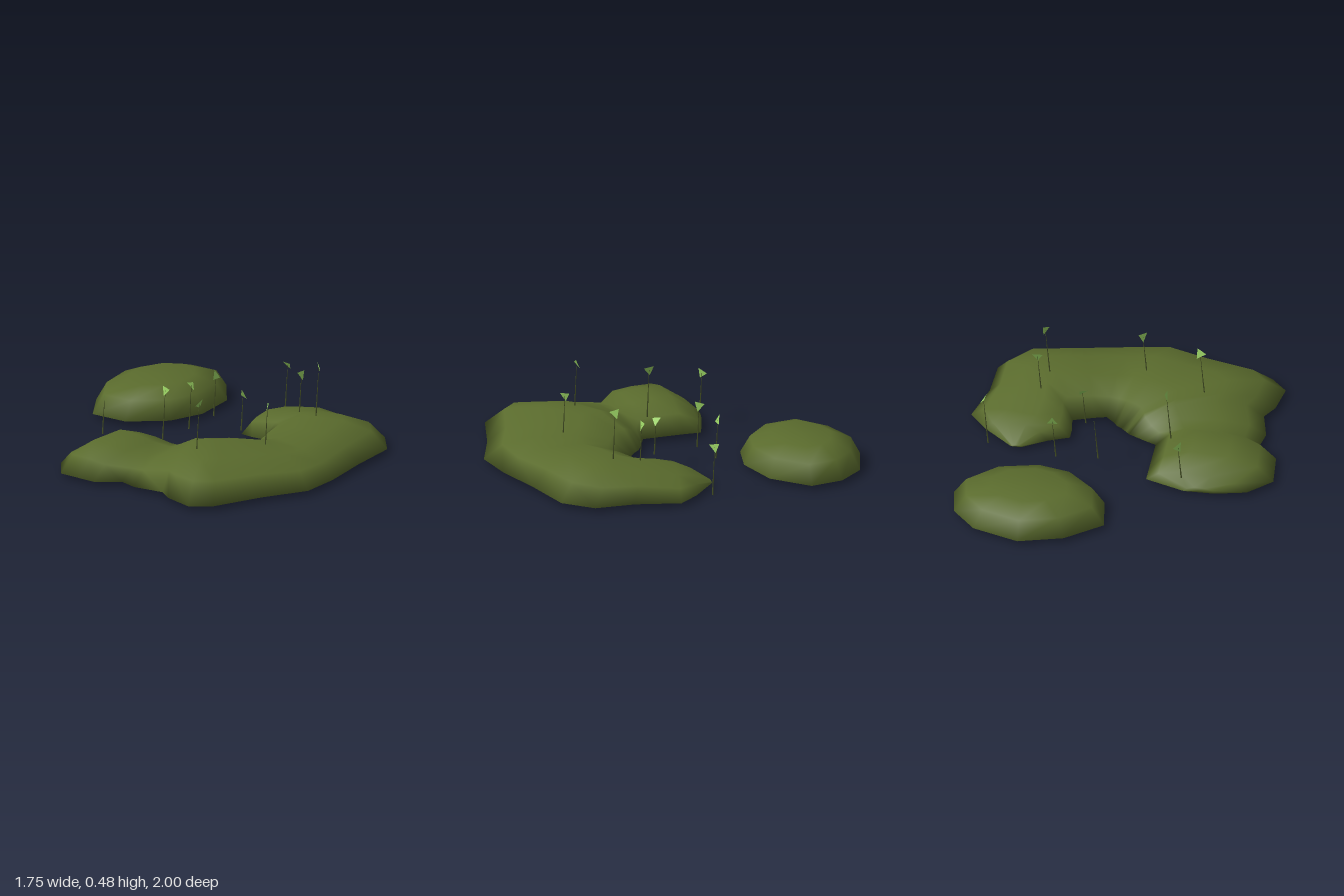
import * as THREE from 'three';

const moss = new THREE.MeshStandardMaterial({ name: 'moss green', color: 0x5a6b2d });
const stemMat = new THREE.MeshStandardMaterial({ name: 'dark stem green', color: 0x4a5628 });
const leafMat = new THREE.MeshStandardMaterial({ name: 'leaf green', color: 0x98d062, side: THREE.DoubleSide });

// Closed smooth skin over rows of points; every row is a loop, both ends are fanned shut
function loft(rows) {
  const n = rows[0].length, last = rows.length - 1;
  const pos = rows.flat(2), index = [];
  const mean = (row) => [0, 1, 2].map((k) => row.reduce((s, p) => s + p[k], 0) / n);
  pos.push(...mean(rows[0]), ...mean(rows[last]));
  const c0 = (last + 1) * n, c1 = c0 + 1;
  for (let j = 0; j < n; j++) {
    const k = (j + 1) % n;
    for (let i = 0; i < last; i++) {
      const a = i * n + j, b = a + n, c = i * n + k, d = c + n;
      index.push(a, b, c, b, d, c);
    }
    index.push(j, k, c0, last * n + k, last * n + j, c1);
  }
  const geo = new THREE.BufferGeometry();
  geo.setAttribute('position', new THREE.Float32BufferAttribute(pos, 3));
  geo.setIndex(index);
  geo.computeVertexNormals();
  return geo;
}

// Round cushion: the outline shrinks towards its centre below the rim and above it
function cushion(outline, height) {
  const cx = outline.reduce((s, p) => s + p[0], 0) / outline.length;
  const cz = outline.reduce((s, p) => s + p[1], 0) / outline.length;
  const profile = [[0.8, 0.02], [1, 0.025], [0.84, height * 0.7], [0.5, height * 0.98]];
  return loft(profile.map(([s, y]) =>
    outline.map(([x, z]) => [cx + (x - cx) * s, y, cz + (z - cz) * s])));
}

// Curved bank: each section runs from the outer rim over the crest to the inner rim and back below
function bank(sections) {
  const profile = [[0, 0.03], [0.13, 0.62], [0.36, 0.93], [0.66, 1], [0.88, 0.65], [1, 0.03], [0.8, 0], [0.2, 0]];
  return loft(sections.map(([ox, oz, ix, iz, h]) =>
    profile.map(([t, v]) => [ox + (ix - ox) * t, 0.02 + (h - 0.02) * v, oz + (iz - oz) * t])));
}

export function createModel() {
  const group = new THREE.Group();
  const add = (geo, mat, name, parent = group) => {
    const mesh = new THREE.Mesh(geo, mat);
    mesh.name = name;
    parent.add(mesh);
    return mesh;
  };

  // Separate moss cushion
  add(cushion([
    [-0.02, -0.77], [0.18, -0.93], [0.43, -1], [0.69, -0.91], [0.82, -0.76],
    [0.85, -0.57], [0.66, -0.39], [0.4, -0.33], [0.19, -0.38], [0.01, -0.55],
  ], 0.18), moss, 'backMossCushion');

  // Large curved moss bank: outer x, z, inner x, z, crest height
  add(bank([
    [-0.58, -0.36, -0.4, -0.36, 0.05],
    [-0.75, -0.325, -0.18, -0.28, 0.1],
    [-0.88, -0.2, -0.18, -0.18, 0.17],
    [-0.87, -0.08, -0.18, -0.06, 0.172],
    [-0.86, 0.03, -0.18, 0.06, 0.155],
    [-0.75, 0.14, -0.12, 0.09, 0.118],
    [-0.77, 0.25, -0.06, 0.12, 0.14],
    [-0.73, 0.43, -0.02, 0.14, 0.18],
    [-0.78, 0.52, 0, 0.16, 0.19],
    [-0.81, 0.7, 0.03, 0.19, 0.198],
    [-0.72, 0.8, 0.06, 0.21, 0.198],
    [-0.42, 0.89, 0.08, 0.24, 0.185],
    [-0.16, 1, 0.1, 0.26, 0.165],
    [0.07, 0.97, 0.13, 0.29, 0.152],
    [0.37, 0.89, 0.2, 0.27, 0.175],
    [0.66, 0.83, 0.31, 0.23, 0.185],
    [0.8, 0.68, 0.31, 0.2, 0.175],
    [0.81, 0.45, 0.3, 0.14, 0.155],
    [0.875, 0.2, 0.3, 0.06, 0.12],
    [0.78, 0.08, 0.42, 0.01, 0.1],
    [0.61, -0.07, 0.55, -0.07, 0.03],
  ]), moss, 'curvedMossBank');

  // Sprouts: leaf x, y, z, stem foot height, leaf tilt, yaw, roll
  const sprouts = [
    [-0.38, 0.44, 0.38, 0.12, 0.4, 0.1, 3.2], [-0.37, 0.3, -0.35, 0.1, 0.1, 0.7, 0.1],
    [-0.25, 0.4, 0, 0.1, 0.2, 1.5, -1.4], [-0.03, 0.39, 0.57, 0.12, 0.2, 0.8, -1.5],
    [0.13, 0.3, -0.16, 0.05, -0.3, 1.5, 0.2], [0.24, 0.285, 0.13, 0.08, -0.6, 0.5, 2.9],
    [0.36, 0.29, -0.19, 0.06, -0.3, 0.05, 1.57], [0.5, 0.455, 0.46, 0.12, -0.1, 0.95, 3],
    [0.52, 0.375, 0.31, 0.12, -0.3, 0.05, -1.57], [0.77, 0.29, -0.03, 0, -0.6, 1.5, -1.57],
  ];
  const up = new THREE.Vector3(0, 1, 0);
  for (const [x, y, z, foot, tilt, yaw, roll] of sprouts) {
    const sprout = new THREE.Group();
    sprout.name = 'sprout';
    group.add(sprout);
    const top = new THREE.Vector3(x, y, z);
    const base = new THREE.Vector3(x - (y - foot) * 0.09, foot, z + 0.003);
    const dir = top.clone().sub(base);
    const stem = add(new THREE.CylinderGeometry(0.001, 0.005, dir.length(), 3), stemMat, 'stem', sprout);
    stem.position.copy(base).add(top).multiplyScalar(0.5);
    stem.quaternion.setFromUnitVectors(up, dir.normalize());
    const leaf = add(new THREE.CircleGeometry(0.034, 3), leafMat, 'leaf', sprout);
    leaf.position.copy(top);
    leaf.rotation.set(tilt, yaw, roll, 'YXZ');
  }
  return group;
}
